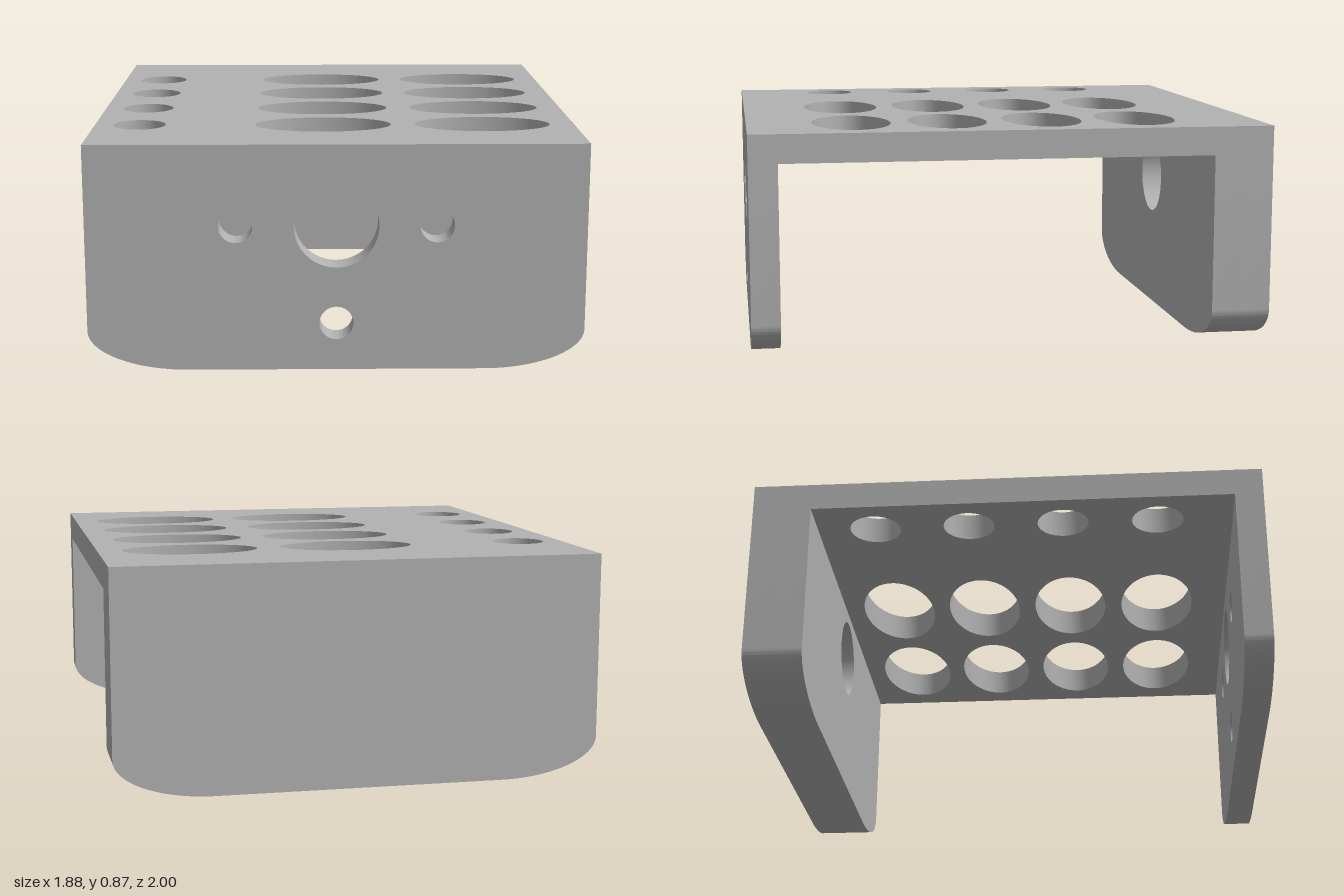
import * as THREE from 'three';
import { toCreasedNormals } from 'three/addons/utils/BufferGeometryUtils.js';

const HALF_WIDTH = 0.94;
const TOP = 0.87;
const UNDERSIDE = 0.76;

export function createModel() {
  const group = new THREE.Group();
  group.name = 'mountingBracket';
  const grey = new THREE.MeshStandardMaterial({ color: 0xb2b2b2 });
  grey.name = 'grey';

  const addHole = (shape, x, y, rx, ry = rx) => {
    const hole = new THREE.Path();
    hole.absellipse(x, y, rx, ry, 0, Math.PI * 2, true, 0);
    shape.holes.push(hole);
  };

  const extrude = (name, shape, depth) => {
    const geometry = new THREE.ExtrudeGeometry(shape, { depth, bevelEnabled: false, curveSegments: 32 });
    const mesh = new THREE.Mesh(toCreasedNormals(geometry, 0.6), grey);
    mesh.name = name;
    group.add(mesh);
    return mesh;
  };

  // Wall outline with elliptical lower corners
  const wallShape = () => {
    const rx = 0.38, ry = 0.155;
    const s = new THREE.Shape();
    s.moveTo(HALF_WIDTH, UNDERSIDE);
    s.lineTo(-HALF_WIDTH, UNDERSIDE);
    s.lineTo(-HALF_WIDTH, ry);
    s.absellipse(-HALF_WIDTH + rx, ry, rx, ry, Math.PI, Math.PI * 1.5, false, 0);
    s.absellipse(HALF_WIDTH - rx, ry, rx, ry, Math.PI * 1.5, Math.PI * 2, false, 0);
    s.closePath();
    return s;
  };

  // Top plate with rows of round and oval openings
  const plate = new THREE.Shape();
  plate.moveTo(-HALF_WIDTH, -1);
  plate.lineTo(HALF_WIDTH, -1);
  plate.lineTo(HALF_WIDTH, 1);
  plate.lineTo(-HALF_WIDTH, 1);
  plate.closePath();
  for (let i = 0; i < 4; i++) {
    const z = -0.538 + i * 0.377;
    addHole(plate, -0.765, -z, 0.102);
    addHole(plate, -0.045, -z, 0.265, 0.153);
    addHole(plate, 0.58, -z, 0.265, 0.153);
  }
  const topPlate = extrude('topPlate', plate, TOP - UNDERSIDE);
  topPlate.rotation.x = -Math.PI / 2;
  topPlate.position.y = UNDERSIDE;

  // Thin front wall with a shaft hole and three screw holes
  const front = wallShape();
  addHole(front, 0, 0.56, 0.16);
  for (const [x, y] of [[-0.378, 0.56], [0.378, 0.56], [0, 0.183]]) addHole(front, x, y, 0.064);
  extrude('frontWall', front, 0.11).position.z = 0.89;

  // Thick back wall: solid outside, round blind pocket inside
  extrude('backWallOuter', wallShape(), 0.12).position.z = -1;
  const pocket = wallShape();
  addHole(pocket, 0, 0.56, 0.16);
  extrude('backWallInner', pocket, 0.11).position.z = -0.88;

  return group;
}
